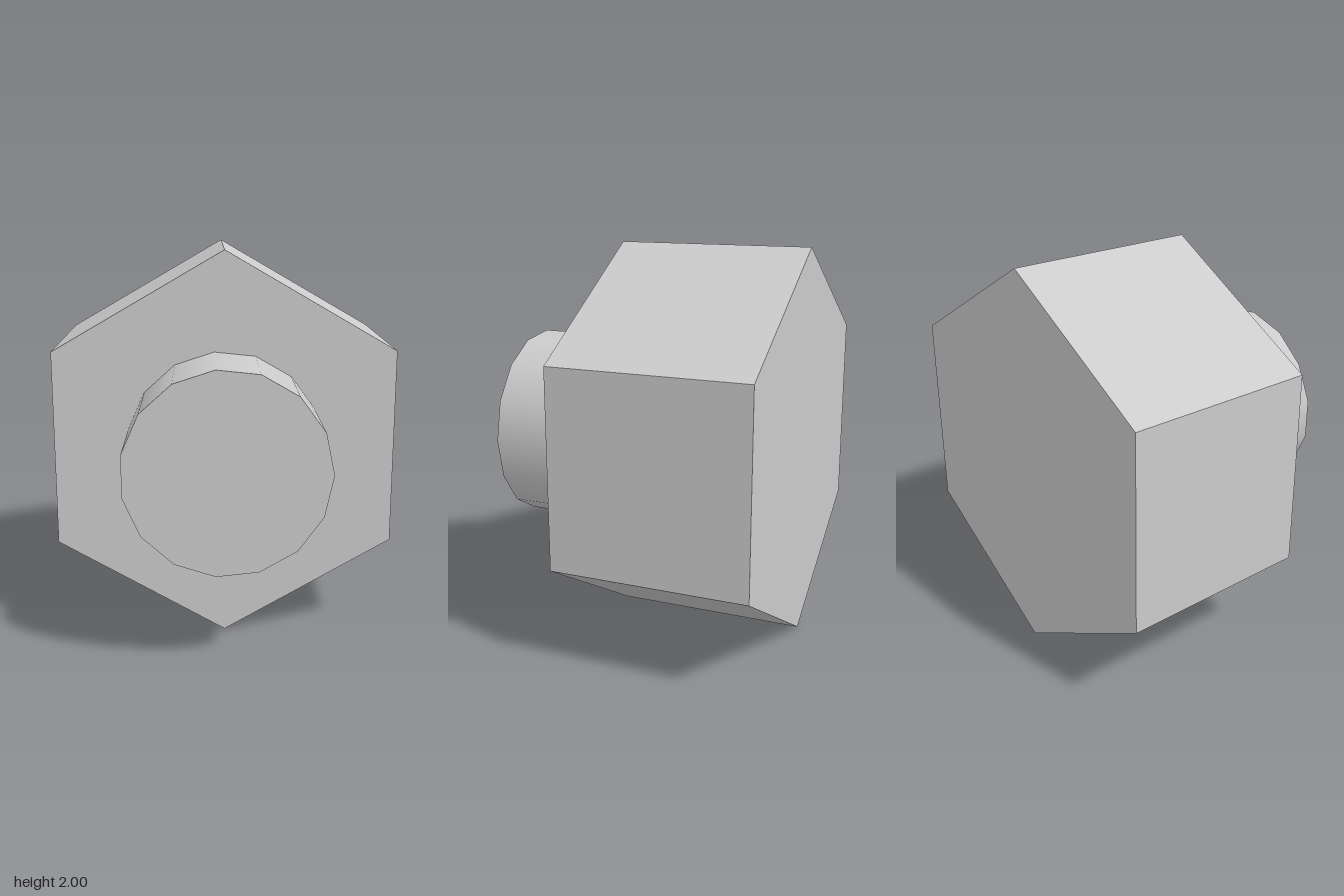
import * as THREE from 'three';

// Prism along z between z0 and z1, centred at height 1
function prism(name, radius, sides, z0, z1, start, flatShading) {
  const geometry = new THREE.CylinderGeometry(radius, radius, z1 - z0, sides, 1, false, start);
  geometry.rotateX(Math.PI / 2);
  const mesh = new THREE.Mesh(geometry, new THREE.MeshStandardMaterial({ color: 0xcccccc, flatShading }));
  mesh.name = name;
  mesh.position.set(0, 1, (z0 + z1) / 2);
  return mesh;
}

export function createModel() {
  const group = new THREE.Group();
  group.name = 'hexBolt';
  // Hexagonal head with corners at top and bottom
  group.add(prism('hexHead', 1, 6, -0.75, 0.25, 0, true));
  // Smooth round shank, one corner pointing to +x
  group.add(prism('shank', 0.5, 15, 0.25, 0.75, Math.PI / 2, false));
  return group;
}
